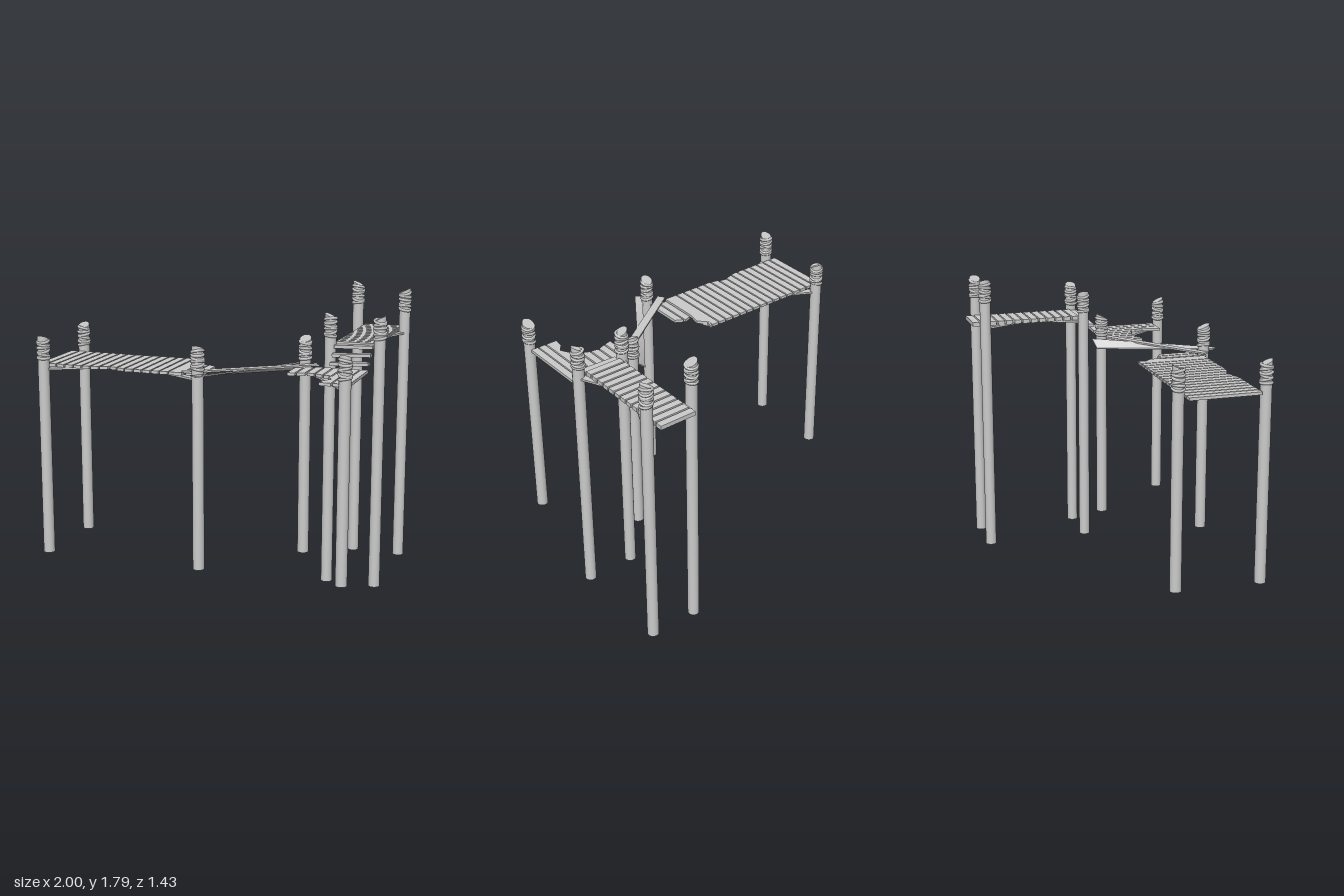
import * as THREE from 'three';

const material = new THREE.MeshStandardMaterial({ color: 0xcccccc, flatShading: true });
const smooth = new THREE.MeshStandardMaterial({ color: 0xcccccc });

function add(parent, name, geometry, mat = material) {
  const mesh = new THREE.Mesh(geometry, mat);
  mesh.name = name;
  parent.add(mesh);
  return mesh;
}

// Flat board from an [x, z] outline, its upper face at height top
function board(parent, name, outline, top, thickness) {
  const shape = new THREE.Shape(outline.map(([x, z]) => new THREE.Vector2(x, z)));
  const g = new THREE.ExtrudeGeometry(shape, { depth: thickness, bevelEnabled: false });
  g.rotateX(Math.PI / 2).translate(0, top, 0);
  return add(parent, name, g);
}

// Straight beam between two [x, z] points
function beam(parent, name, [x0, z0], [x1, z1], top, width = 0.042, thickness = 0.012) {
  const g = new THREE.BoxGeometry(Math.hypot(x1 - x0, z1 - z0), thickness, width);
  g.rotateY(-Math.atan2(z1 - z0, x1 - x0));
  g.translate((x0 + x1) / 2, top - thickness / 2, (z0 + z1) / 2);
  return add(parent, name, g);
}

// Round post with a slanted top and irregular rope wraps
function post(parent, name, x, z, bottom, top, slantX, slantZ, seed) {
  const group = new THREE.Group();
  group.name = name;
  group.position.set(x, 0, z);
  const r = 0.035, height = top - 0.018 - bottom;
  const g = new THREE.CylinderGeometry(r, r, height, 24);
  g.translate(0, bottom + height / 2, 0);
  const p = g.attributes.position;
  for (let i = 0; i < p.count; i++) {
    if (p.getY(i) > bottom + height / 2) {
      p.setY(i, p.getY(i) + (slantX * p.getX(i) + slantZ * p.getZ(i)) * 0.5);
    }
  }
  add(group, 'pole', g, smooth);
  const wraps = 6;
  for (let i = 0; i < wraps; i++) {
    const ring = new THREE.TorusGeometry(0.034, 0.0095, 6, 20);
    ring.rotateX(Math.PI / 2);
    const rope = add(group, 'ropeWrap', ring, smooth);
    rope.position.y = top - 0.137 + i * 0.02;
    rope.rotation.set(0.22 * Math.sin(seed * 3.1 + i * 2.3), 0, 0.22 * Math.cos(seed * 1.7 + i * 1.9));
  }
  parent.add(group);
}

// Row of boards running front to back: each entry is [back z left, right, front z left, right]
function boardRow(parent, x0, pitch, width, rows, top) {
  rows.forEach(([a, b, c, d], i) => {
    const x = x0 + i * pitch;
    board(parent, 'deckPlank', [[x, a], [x + width, b], [x + width, d], [x, c]], top, 0.018);
  });
}

// Long plank with a twist: four upper corners [x, y, z] in order, extruded downwards
function twistedPlank(parent, name, corners, thickness, steps = 8) {
  const v = corners.map(c => new THREE.Vector3(...c));
  const pos = [], index = [];
  for (let i = 0; i <= steps; i++) {
    const l = v[0].clone().lerp(v[3], i / steps);
    const r = v[1].clone().lerp(v[2], i / steps);
    for (const [q, drop] of [[l, 0], [r, 0], [r, thickness], [l, thickness]]) pos.push(q.x, q.y - drop, q.z);
  }
  for (let i = 0; i < steps; i++) {
    for (let k = 0; k < 4; k++) {
      const a = i * 4 + k, b = i * 4 + (k + 1) % 4;
      index.push(a, b, b + 4, a, b + 4, a + 4);
    }
  }
  const e = steps * 4;
  index.push(0, 2, 1, 0, 3, 2, e, e + 1, e + 2, e, e + 2, e + 3);
  const g = new THREE.BufferGeometry();
  g.setAttribute('position', new THREE.Float32BufferAttribute(pos, 3));
  g.setIndex(index);
  g.computeVertexNormals();
  return add(parent, name, g);
}

export function createModel() {
  const model = new THREE.Group();
  model.name = 'brokenWalkway';

  // Posts
  [[-0.935, 0.092], [-0.955, 0.613], [0.03, 0.613], [0.52, 0.092], [0.905, 0.613]].forEach(([x, z], i) =>
    post(model, 'lowPost', x, z, 0.2, 1.55, 0, z > 0.3 ? 1 : -1, i));
  [[0.65, 0.008, 1.68], [0.953, 0.008, 1.68], [0.65, -0.645, 1.79], [0.953, -0.645, 1.76]].forEach(([x, z, top], i) =>
    post(model, 'highPost', x, z, 0, top, x < 0.8 ? -1 : 1, 0, i + 6));

  // Left deck, broken at its inner end
  const leftDeck = new THREE.Group();
  leftDeck.name = 'leftDeck';
  const rows = [];
  for (let i = 0; i < 16; i++) rows.push([0.135, 0.135, 0.573, 0.573]);
  rows[6] = [0.135, 0.135, 0.573, 0.567];
  rows[7] = [0.135, 0.135, 0.562, 0.55];
  rows[8] = [0.135, 0.135, 0.54, 0.55];
  rows[9] = [0.135, 0.135, 0.56, 0.57];
  boardRow(leftDeck, -1, 0.0555, 0.046, rows, 1.372);
  board(leftDeck, 'brokenPlank', [[-0.115, 0.135], [-0.1, 0.135], [-0.115, 0.18], [-0.07, 0.23],
    [-0.085, 0.3], [-0.085, 0.573], [-0.125, 0.573], [-0.125, 0.2]], 1.372, 0.018);
  boardRow(leftDeck, -0.07, 0.0555, 0.046, [[0.3, 0.285, 0.55, 0.54], [0.295, 0.32, 0.54, 0.573]], 1.372);
  beam(leftDeck, 'crossBeam', [-0.935, 0.092], [0.03, 0.613], 1.353);
  beam(leftDeck, 'crossBeam', [-0.955, 0.613], [-0.11, 0.19], 1.353);
  model.add(leftDeck);

  // Right deck, broken at its inner corner
  const rightDeck = new THREE.Group();
  rightDeck.name = 'rightDeck';
  boardRow(rightDeck, 0.49, 0.0555, 0.045, [
    [0.2, 0.18, 0.365, 0.355], [0.17, 0.15, 0.35, 0.335], [0.135, 0.135, 0.33, 0.34],
    [0.135, 0.135, 0.34, 0.36], [0.135, 0.135, 0.365, 0.37],
  ], 1.372);
  board(rightDeck, 'brokenPlank', [[0.767, 0.135], [0.812, 0.135], [0.812, 0.573], [0.742, 0.573],
    [0.75, 0.51], [0.785, 0.46], [0.75, 0.4], [0.767, 0.36]], 1.372, 0.018);
  boardRow(rightDeck, 0.822, 0.0525, 0.044, [[0.135, 0.135, 0.573, 0.573], [0.135, 0.135, 0.573, 0.573]], 1.372);
  beam(rightDeck, 'crossBeam', [0.52, 0.092], [0.905, 0.613], 1.353);
  model.add(rightDeck);

  // Loose planks crossing the gap
  beam(model, 'loosePlank', [-0.07, 0.595], [0.605, 0.115], 1.386, 0.05, 0.01);
  twistedPlank(model, 'twistedLoosePlank',
    [[0.02, 1.385, 0.675], [0.055, 1.385, 0.71], [0.52, 1.385, 0.03], [0.462, 1.335, 0.045]], 0.008);

  // Upper deck
  const upperDeck = new THREE.Group();
  upperDeck.name = 'upperDeck';
  for (let i = 0; i < 13; i++) {
    const z = -0.698 + i * 0.0552;
    const plank = add(upperDeck, 'deckPlank', new THREE.BoxGeometry(0.233, 0.026, 0.044));
    plank.position.set(0.798, 1.492, z);
  }
  beam(upperDeck, 'crossBeam', [0.65, -0.645], [0.953, 0.008], 1.479);
  beam(upperDeck, 'crossBeam', [0.953, -0.645], [0.65, 0.008], 1.479);
  model.add(upperDeck);

  // Loose steps down to the right deck
  [[1.484, 0.015, 0.03], [1.442, 0.065, 0.05], [1.398, 0.112, 0.05]].forEach(([y, z, tilt]) => {
    const step = add(model, 'step', new THREE.BoxGeometry(0.235, 0.02, 0.046));
    step.position.set(0.799, y, z);
    step.rotation.z = tilt;
  });

  return model;
}
